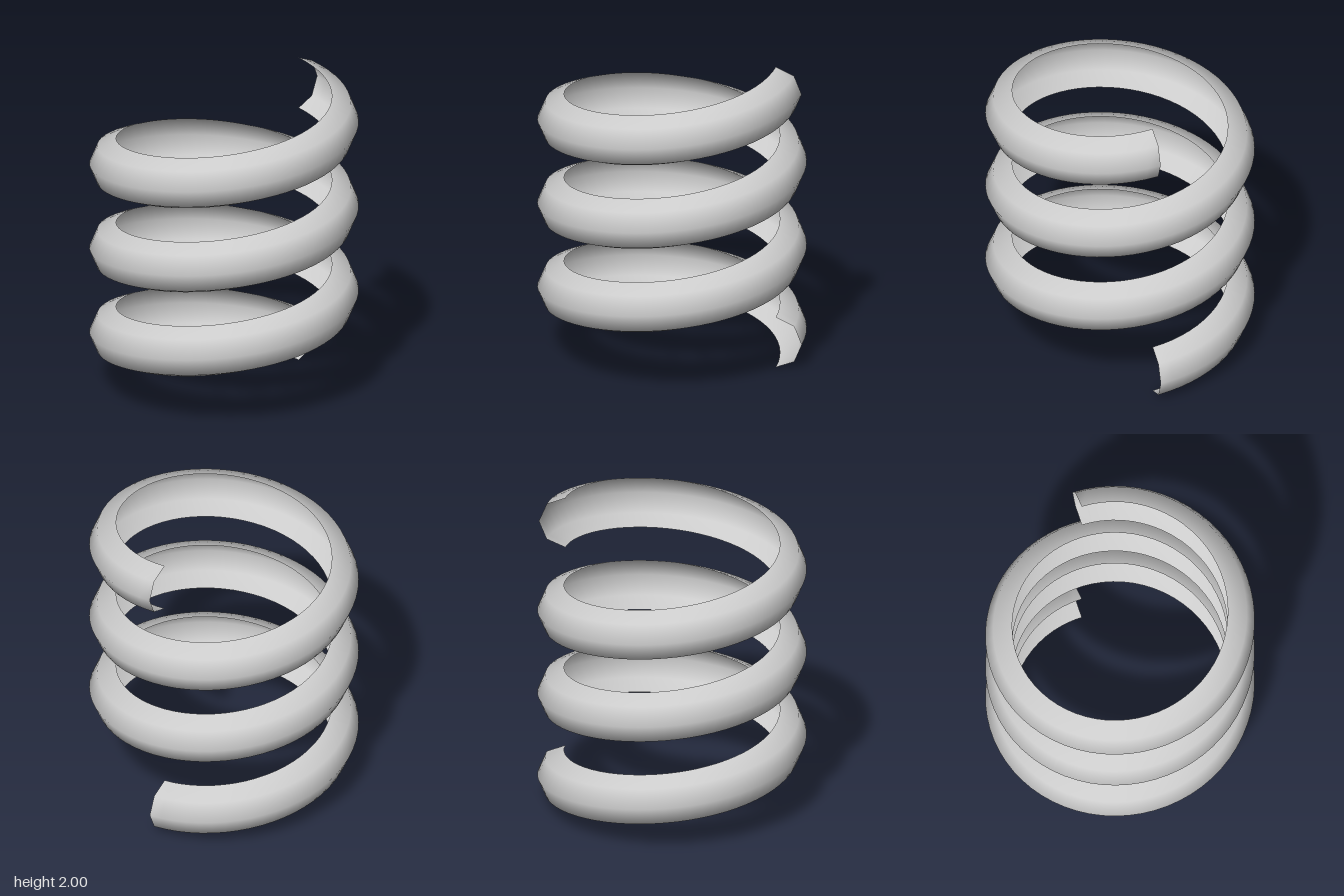
import * as THREE from 'three';

const TURNS = 3;
const PITCH = 0.556;
const COIL_RADIUS = 0.667;
const BAND_RADIUS = 0.166;
const SEGMENTS_PER_TURN = 64;
const PROFILE_SEGMENTS = 4;

// Open half-round band swept along a helix, by bending a flat strip
function helicalBand() {
  const geometry = new THREE.PlaneGeometry(1, 1, TURNS * SEGMENTS_PER_TURN, PROFILE_SEGMENTS);
  const position = geometry.attributes.position;
  for (let i = 0; i < position.count; i++) {
    const along = position.getX(i) + 0.5;
    const profileAngle = position.getY(i) * Math.PI; // -90 to +90 degrees
    const turn = along * TURNS * Math.PI * 2;
    const radius = COIL_RADIUS + BAND_RADIUS * Math.cos(profileAngle);
    position.setXYZ(
      i,
      radius * Math.cos(turn),
      BAND_RADIUS + along * TURNS * PITCH + BAND_RADIUS * Math.sin(profileAngle),
      -radius * Math.sin(turn)
    );
  }
  geometry.computeVertexNormals();
  return geometry;
}

export function createModel() {
  const model = new THREE.Group();
  model.name = 'spiralCoil';

  // Hollow on the inside, so both faces show
  const material = new THREE.MeshStandardMaterial({ color: 0xcccccc, side: THREE.DoubleSide });
  const band = new THREE.Mesh(helicalBand(), material);
  band.name = 'coilBand';
  model.add(band);

  return model;
}
